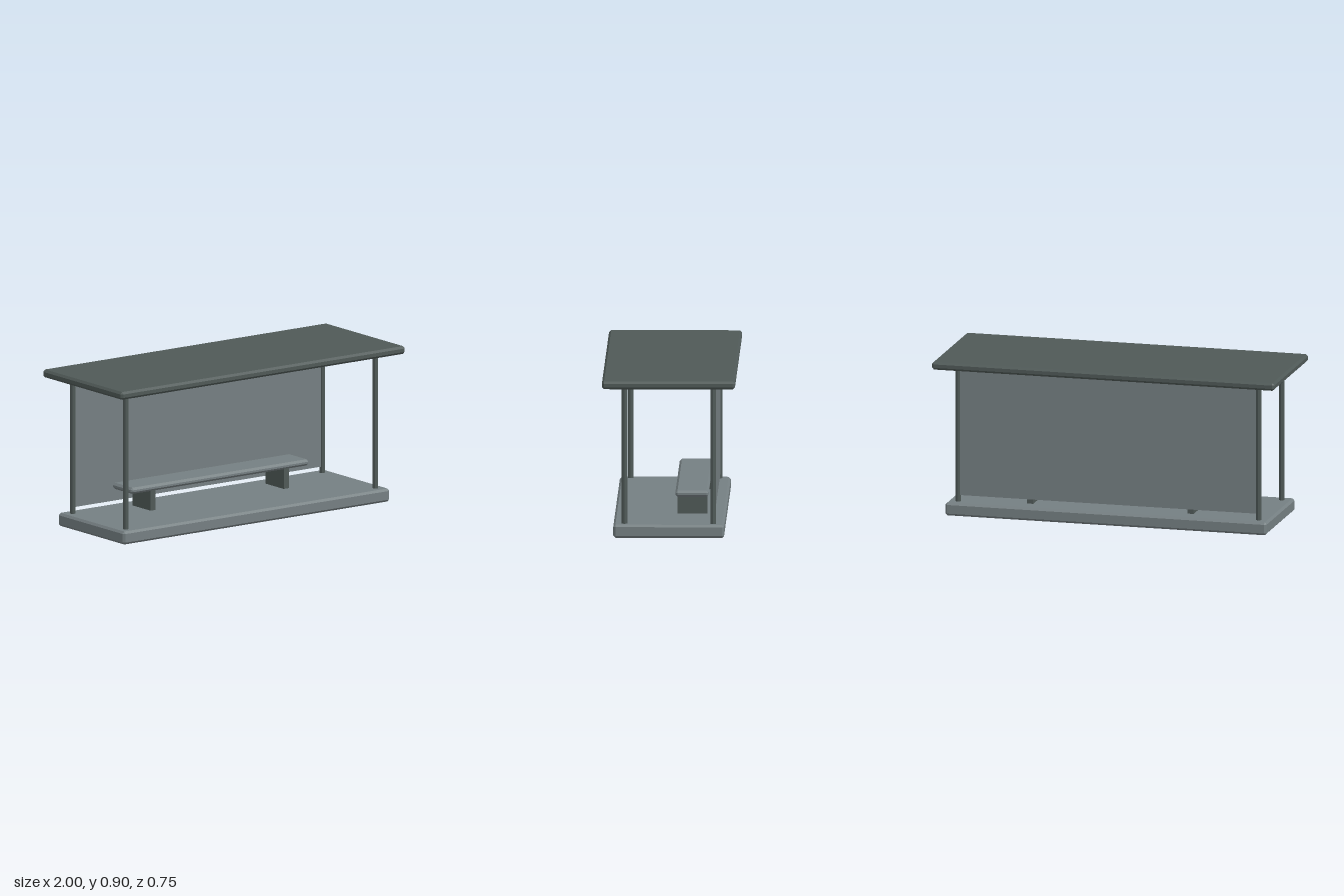
import * as THREE from 'three';
import { ConvexGeometry } from 'three/addons/geometries/ConvexGeometry.js';

// Box with every edge and corner cut by a flat bevel c
function bevelledBox(w, h, d, c) {
  const half = [w / 2, h / 2, d / 2];
  const points = [];
  for (const sx of [-1, 1]) for (const sy of [-1, 1]) for (const sz of [-1, 1]) {
    for (let axis = 0; axis < 3; axis++) {
      const p = half.map((v, i) => (i === axis ? v : v - c));
      points.push(new THREE.Vector3(p[0] * sx, p[1] * sy, p[2] * sz));
    }
  }
  return new ConvexGeometry(points);
}

export function createModel() {
  const light = new THREE.MeshStandardMaterial({ color: 0x757f82 });
  light.name = 'light grey';
  const dark = new THREE.MeshStandardMaterial({ color: 0x4f5957 });
  dark.name = 'dark grey';
  const darkFlat = dark.clone();
  darkFlat.flatShading = true;

  const model = new THREE.Group();
  model.name = 'shelter';
  function add(parent, name, geometry, material, x, y, z) {
    const mesh = new THREE.Mesh(geometry, material);
    mesh.name = name;
    mesh.position.set(x, y, z);
    parent.add(mesh);
  }

  // Floor slab and overhanging roof
  add(model, 'floorSlab', bevelledBox(1.875, 0.075, 0.625, 0.0125), light, 0, 0.0375, 0);
  add(model, 'roof', bevelledBox(2, 0.045, 0.75, 0.0125), dark, 0, 0.8775, 0);

  // Four octagonal posts
  const postGeometry = new THREE.CylinderGeometry(0.0165, 0.0165, 0.79, 8);
  for (const [side, x] of [['left', 0.877], ['right', -0.877]]) {
    for (const [end, z] of [['Front', 0.25], ['Back', -0.25]]) {
      add(model, `${side}${end}Post`, postGeometry, darkFlat, x, 0.467, z);
    }
  }

  // Thin panel between the back posts
  add(model, 'backPanel', new THREE.BoxGeometry(1.74, 0.72, 0.0125), light, 0, 0.471, -0.25);

  // Bench: seat on two slab legs
  const bench = new THREE.Group();
  bench.name = 'bench';
  model.add(bench);
  add(bench, 'seat', bevelledBox(1.25, 0.036, 0.1875, 0.0125), light, 0, 0.206, -0.125);
  const legGeometry = new THREE.BoxGeometry(0.036, 0.12, 0.17);
  add(bench, 'leftLeg', legGeometry, dark, 0.468, 0.132, -0.125);
  add(bench, 'rightLeg', legGeometry, dark, -0.468, 0.132, -0.125);

  return model;
}
